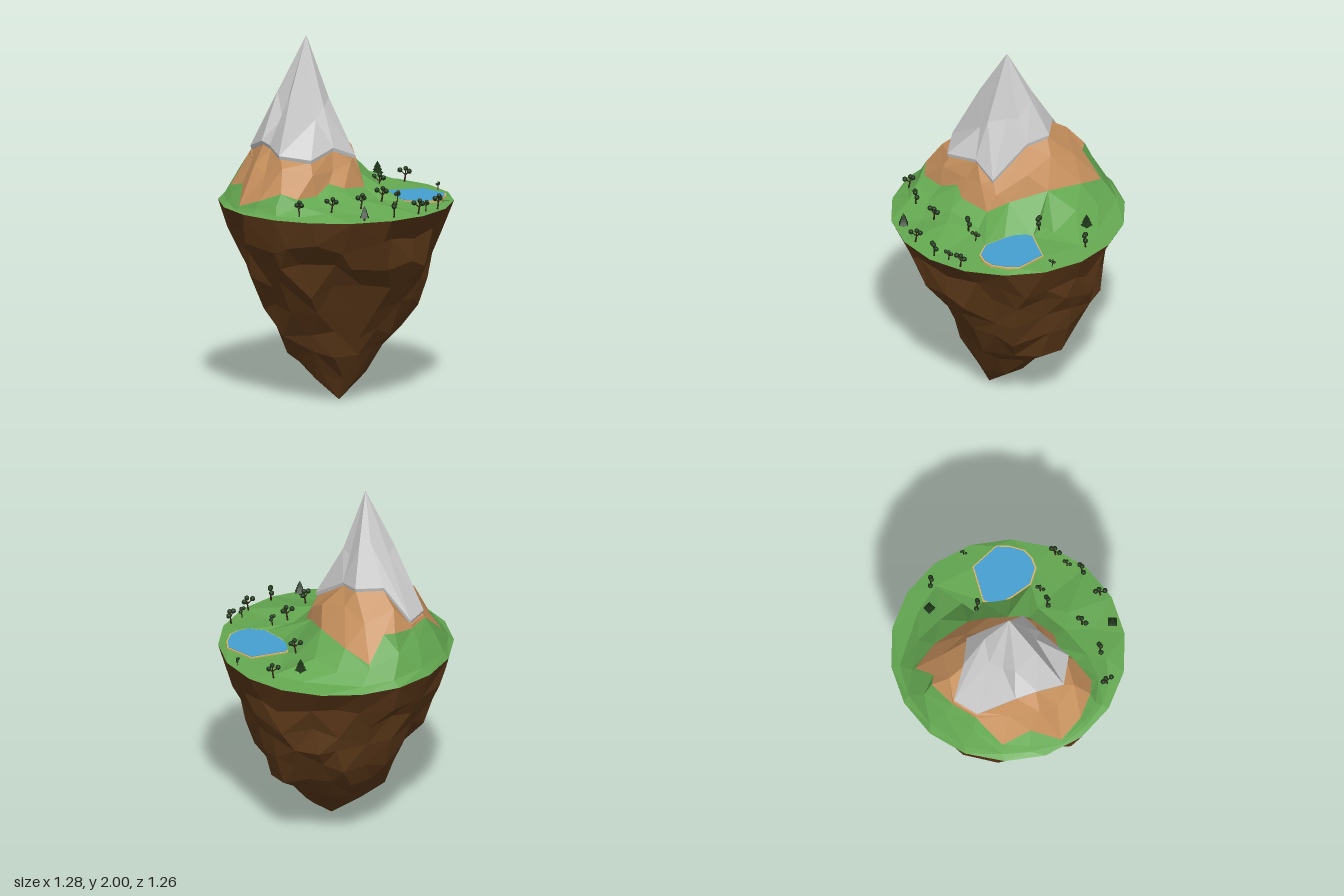
import * as THREE from 'three';

const mat = (color, flatShading = true) => new THREE.MeshStandardMaterial({ color, flatShading });
const MATS = {
  snow: mat(0xcccccc), cliff: mat(0xc58f5c), grass: mat(0x64a851), earth: mat(0x5a3718),
  water: mat(0x459fd0), sand: mat(0xd8b565), leaf: mat(0x1c3316), bark: mat(0x2e2013),
};
const PEAK = [-0.13, 2, -0.095];

// Small seeded random generator
let seed = 11;
const rand = (lo, hi) => {
  seed = (seed * 16807) % 2147483647;
  return lo + (hi - lo) * (seed / 2147483647);
};

// Sort a ring clockwise (seen from above) around a centre
function ordered(ring, cx, cz) {
  return ring
    .map((p) => ({ p, a: (Math.atan2(p[0] - cx, cz - p[2]) + 2 * Math.PI) % (2 * Math.PI) }))
    .sort((m, n) => m.a - n.a);
}

// Stitch successive rings, which may differ in point count, into one faceted surface
function stitch(name, rings, material, cx, cz) {
  const pos = [];
  for (let r = 0; r + 1 < rings.length; r++) {
    const A = ordered(rings[r], cx, cz), B = ordered(rings[r + 1], cx, cz);
    const next = (L, k) => L[(k + 1) % L.length].a + (k + 1 >= L.length ? 2 * Math.PI : 0);
    let i = 0, j = 0;
    while (i < A.length || j < B.length) {
      const a = A[i % A.length].p, b = B[j % B.length].p;
      if (j >= B.length || (i < A.length && next(A, i) <= next(B, j))) {
        i++;
        if (A.length > 1) pos.push(...a, ...A[i % A.length].p, ...b);
      } else {
        j++;
        if (B.length > 1) pos.push(...a, ...B[j % B.length].p, ...b);
      }
    }
  }
  const g = new THREE.BufferGeometry();
  g.setAttribute('position', new THREE.Float32BufferAttribute(pos, 3));
  g.computeVertexNormals();
  return part(name, g, material);
}

function part(name, geometry, material, x = 0, y = 0, z = 0) {
  const m = new THREE.Mesh(geometry, material);
  m.name = name;
  m.position.set(x, y, z);
  return m;
}

// Flat slab with a polygon outline, its top face at height y
function slab(name, outline, scale, y, material) {
  const c = [0.36, 0.25];
  const pts = outline.map(([x, z]) =>
    new THREE.Vector2(c[0] + (x - c[0]) * scale, -(c[1] + (z - c[1]) * scale)));
  const g = new THREE.ExtrudeGeometry(new THREE.Shape(pts), { depth: 0.015, bevelEnabled: false });
  g.rotateX(-Math.PI / 2);
  return part(name, g, material, 0, y - 0.015, 0);
}

function limb(from, to, r) {
  const a = new THREE.Vector3(...from), b = new THREE.Vector3(...to);
  const m = part('trunk', new THREE.CylinderGeometry(r * 0.7, r, a.distanceTo(b), 5), MATS.bark);
  m.position.copy(a).lerp(b, 0.5);
  m.quaternion.setFromUnitVectors(new THREE.Vector3(0, 1, 0), b.sub(a).normalize());
  return m;
}

// Leaning forked tree with ball-shaped leaf clumps
function leafyTree() {
  const t = new THREE.Group();
  t.name = 'leafyTree';
  const fork = [0.008, 0.04, 0];
  t.add(limb([0, -0.01, 0], fork, 0.006));
  for (const [x, y, z, r] of [[-0.024, 0.068, 0.006, 0.015], [0.028, 0.06, -0.006, 0.015], [0.01, 0.078, 0.004, 0.014]]) {
    t.add(limb(fork, [x, y, z], 0.004));
    t.add(part('leaves', new THREE.IcosahedronGeometry(r, 1), MATS.leaf, x, y, z));
  }
  return t;
}

// Tiered square pine
function pineTree() {
  const t = new THREE.Group();
  t.name = 'pineTree';
  t.add(limb([0, -0.01, 0], [0, 0.03, 0], 0.007));
  for (let i = 0; i < 3; i++)
    t.add(part('needles', new THREE.ConeGeometry(0.036 - i * 0.008, 0.036, 4), MATS.leaf, 0, 0.034 + i * 0.018, 0));
  return t;
}

export function createModel() {
  const island = new THREE.Group();
  island.name = 'floatingIsland';

  // Snow cap: peak, shoulders with shallow hollows, lower edge and a thin lip beneath
  const shoulders = [
    [-0.155, 1.66, -0.255], [-0.06, 1.75, -0.21], [-0.015, 1.73, -0.17], [-0.02, 1.64, -0.09], [-0.035, 1.655, -0.02],
    [-0.12, 1.62, 0.045], [-0.18, 1.56, 0.05], [-0.285, 1.715, -0.03], [-0.25, 1.54, -0.15], [-0.23, 1.68, -0.22],
  ];
  const snowEdge = [
    [-0.26, 1.35, -0.42], [-0.12, 1.35, -0.47], [-0.04, 1.53, -0.34], [0.07, 1.52, -0.23], [0.04, 1.5, -0.1],
    [0.03, 1.35, 0.13], [-0.12, 1.41, 0.13], [-0.31, 1.37, 0.175], [-0.43, 1.39, 0.045], [-0.38, 1.42, -0.1],
    [-0.34, 1.42, -0.22],
  ];
  const pulled = (s, dy) => snowEdge.map(([x, y, z]) =>
    [PEAK[0] + (x - PEAK[0]) * s, y + dy, PEAK[2] + (z - PEAK[2]) * s]);
  island.add(stitch('snowCap', [[PEAK], shoulders, snowEdge, pulled(0.98, -0.02), pulled(0.93, -0.02)], MATS.snow, PEAK[0], PEAK[2]));

  // Bare rock band below the snow, with ridges and dents halfway down
  const cliffMid = [
    [-0.255, 1.325, -0.425], [-0.12, 1.33, -0.475],
    [-0.03, 1.44, -0.43], [0.12, 1.37, -0.36], [0.12, 1.42, -0.2], [0.13, 1.37, -0.03], [0.06, 1.27, 0.13],
    [-0.03, 1.32, 0.165], [-0.15, 1.29, 0.165], [-0.32, 1.29, 0.2], [-0.45, 1.33, 0.1], [-0.47, 1.27, -0.03],
    [-0.45, 1.32, -0.14], [-0.36, 1.3, -0.28],
  ];
  const cliffFoot = [
    [-0.26, 1.31, -0.43], [-0.12, 1.31, -0.48], [0.03, 1.34, -0.505], [0.07, 1.33, -0.46], [0.2, 1.2, -0.485],
    [0.23, 1.25, -0.325], [0.21, 1.28, -0.11], [0.11, 1.23, 0.08], [0.05, 1.18, 0.185], [-0.12, 1.2, 0.225],
    [-0.2, 1.23, 0.19], [-0.31, 1.18, 0.22], [-0.445, 1.18, 0.225], [-0.51, 1.21, 0.165], [-0.57, 1.16, 0.05],
    [-0.59, 1.11, -0.1], [-0.47, 1.2, -0.22], [-0.43, 1.16, -0.38],
  ];
  island.add(stitch('cliffBand', [pulled(0.95, -0.015), cliffMid, cliffFoot], MATS.cliff, PEAK[0], PEAK[2]));

  // Grass from the cliff foot out to the rim
  const hill = [
    [-0.12, 1.24, -0.53], [0.04, 1.24, -0.55], [0.21, 1.18, -0.5], [0.33, 1.15, -0.36], [0.34, 1.18, -0.2],
    [0.36, 1.11, -0.03], [0.27, 1.12, -0.01], [0.3, 1.1, 0.065], [0.22, 1.1, 0.2], [0.215, 1.1, 0.33], [0.08, 1.12, 0.27],
    [-0.12, 1.15, 0.3], [-0.3, 1.13, 0.31], [-0.45, 1.15, 0.27], [-0.55, 1.14, 0.17], [-0.59, 1.12, 0.05],
    [-0.6, 1.1, -0.1], [-0.52, 1.13, -0.26], [-0.44, 1.14, -0.39], [-0.29, 1.23, -0.47],
  ];
  const meadow = [
    [-0.08, 1.13, -0.605], [0.12, 1.12, -0.595], [0.29, 1.11, -0.52], [0.47, 1.1, -0.25], [0.53, 1.1, -0.08],
    [0.49, 1.1, 0.145], [0.505, 1.1, 0.32], [0.39, 1.1, 0.425], [0.27, 1.1, 0.42], [0.1, 1.1, 0.42],
    [-0.05, 1.14, 0.38], [-0.2, 1.1, 0.44], [-0.38, 1.12, 0.38], [-0.5, 1.1, 0.3], [-0.57, 1.1, 0.2],
    [-0.61, 1.095, 0.05], [-0.61, 1.09, -0.1], [-0.54, 1.1, -0.27], [-0.46, 1.11, -0.4], [-0.3, 1.12, -0.54],
  ];
  const rim = Array.from({ length: 18 }, (_, k) => {
    const a = ((10 + 20 * k) * Math.PI) / 180;
    return [0.64 * Math.sin(a), 1.085, -0.64 * Math.cos(a)];
  });
  const grass = stitch('grass', [cliffFoot, hill, meadow, rim], MATS.grass, PEAK[0], PEAK[2]);
  island.add(grass);

  // Earth underside: jagged sections [y, xMin, xMax, zMin, zMax] tapering to a tip
  const sections = [
    [0.93, -0.59, 0.57, -0.57, 0.575], [0.8, -0.53, 0.54, -0.52, 0.52], [0.67, -0.47, 0.52, -0.48, 0.45],
    [0.53, -0.38, 0.48, -0.43, 0.38], [0.4, -0.32, 0.41, -0.36, 0.3], [0.27, -0.27, 0.28, -0.25, 0.25],
    [0.14, -0.17, 0.15, -0.12, 0.17],
  ].map(([y, x0, x1, z0, z1], r) => {
    const n = 24 - 2 * r, dy = r < 6 ? 0.045 : 0.02;
    return Array.from({ length: n }, (_, k) => {
      const a = ((k + (r % 2) / 2 + rand(-0.3, 0.3)) / n) * 2 * Math.PI, s = rand(0.925, 1.035);
      return [(x0 + x1) / 2 + ((x1 - x0) / 2) * s * Math.sin(a), y + rand(-dy, dy),
        (z0 + z1) / 2 - ((z1 - z0) / 2) * s * Math.cos(a)];
    });
  });
  island.add(stitch('earthUnderside', [rim, ...sections, [[-0.05, 0, 0.09]]], MATS.earth, -0.03, 0.05));

  // Lake with a sandy border
  const shore = [[0.24, 0.1], [0.3, 0.065], [0.49, 0.145], [0.505, 0.32], [0.46, 0.375], [0.39, 0.425], [0.33, 0.43], [0.27, 0.41], [0.215, 0.33], [0.22, 0.2]];
  island.add(slab('lakeShore', shore, 1.01, 1.107, MATS.sand), slab('lakeWater', shore, 0.96, 1.11, MATS.water));

  // Trees set on the ground: x, z, turn, size
  const ray = new THREE.Raycaster();
  const plant = (tree, [x, z, turn, size = 0.95]) => {
    ray.set(new THREE.Vector3(x, 3, z), new THREE.Vector3(0, -1, 0));
    const hit = ray.intersectObject(grass)[0];
    tree.position.set(x, hit ? hit.point.y : 1.09, z);
    tree.rotation.y = turn;
    tree.scale.setScalar(size);
    island.add(tree);
  };
  [
    [-0.49, 0.3, 1.2], [-0.33, 0.375, -0.7], [-0.145, 0.4, 0], [0.06, 0.32, -0.7], [0.15, 0.345, 0.2, 0.7],
    [0.285, 0.01, -1], [0.55, -0.1, -0.9], [0.58, 0.155, 0.3, 0.5], [-0.065, 0.59, 0.7], [0.1, 0.59, -0.5],
    [0.18, 0.555, 0.1, 0.7], [0.27, 0.545, 0.1],
  ].forEach((t) => plant(leafyTree(), t));
  [[-0.23, 0.54, 0.1], [0.44, -0.195, 0.9]].forEach((t) => plant(pineTree(), t));

  return island;
}
